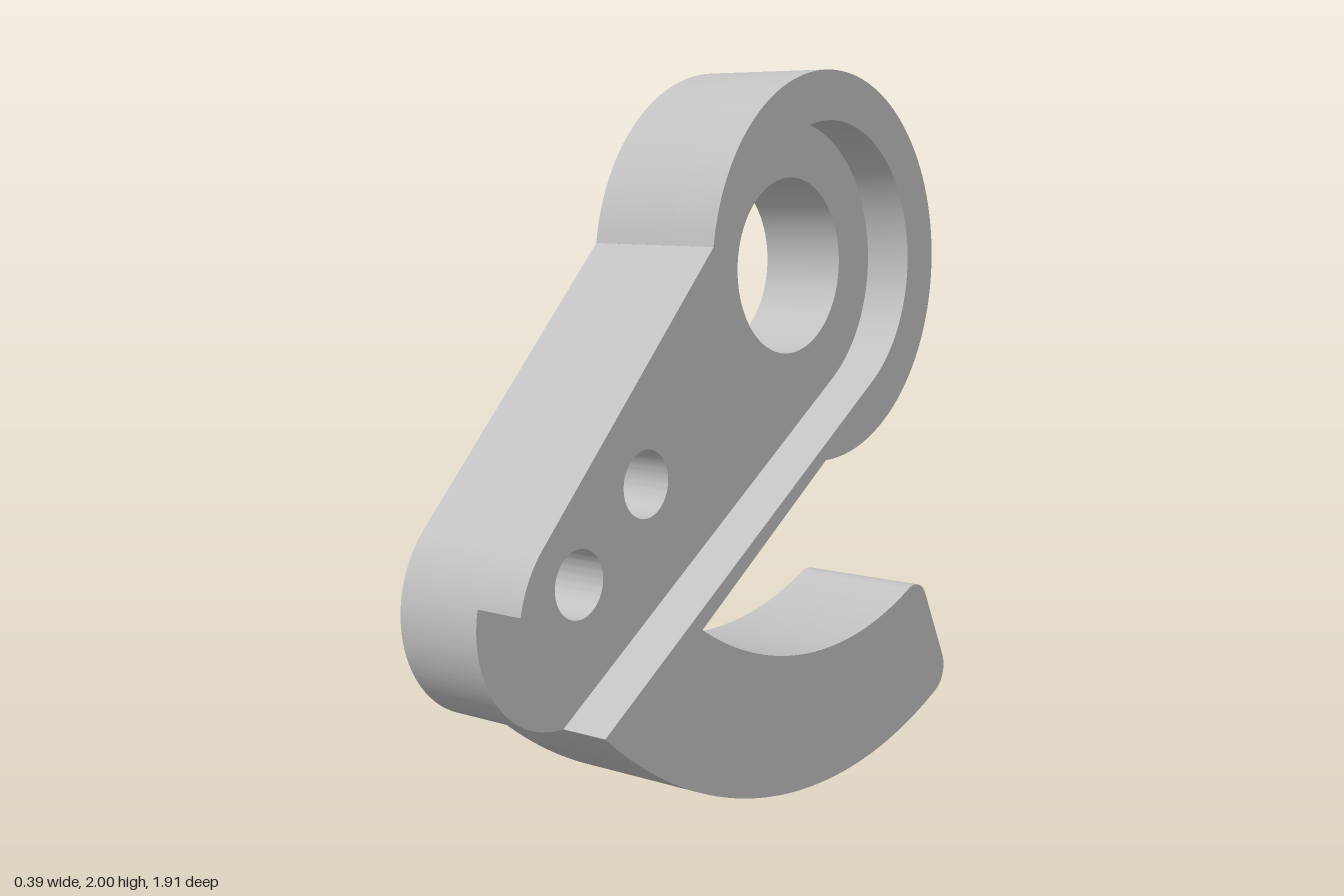
import * as THREE from 'three';
import { toCreasedNormals } from 'three/addons/utils/BufferGeometryUtils.js';

// Profile plane: first coordinate runs to the back (-z), second runs up.
const EYE = [0.305, 1.465];   // centre of the large ring, also of the hook arcs
const FOOT = [-0.655, 0.66];  // centre of the rounded lower end
const X_BACK = -0.2, X_FLOOR = 0.055, X_RIM = 0.192;

// Arc about c from the direction of point a to the direction of point b
function arc(path, c, r, a, b, clockwise) {
  const angle = (p) => Math.atan2(p[1] - c[1], p[0] - c[0]);
  path.absarc(c[0], c[1], r, angle(a), angle(b), clockwise);
}

const recessStart = [-0.949, 0.72];
const footBottom = [-0.655, 0.36];

// Outer edge from the recess mouth, over the ring and around the hook
function outerEdge() {
  const s = new THREE.Shape();
  s.moveTo(...recessStart);
  arc(s, FOOT, 0.3, recessStart, [-0.873, 0.866], true);
  s.lineTo(-0.224, 1.54);
  arc(s, EYE, 0.535, [-0.224, 1.54], [0.29, 0.93], true);
  s.lineTo(-0.27, 0.557);
  // hook inner arc, rounded tip, outer arc
  arc(s, EYE, 1.075, [-0.27, 0.557], [0.735, 0.481], false);
  s.bezierCurveTo(0.775, 0.5, 0.82, 0.485, 0.838, 0.45);
  s.lineTo(0.948, 0.233);
  s.bezierCurveTo(0.965, 0.195, 0.95, 0.149, 0.91, 0.131);
  arc(s, EYE, 1.465, [0.91, 0.131], [-0.657, 0.36], true);
  return s;
}

function slab(name, shape, x0, x1, material) {
  const g = new THREE.ExtrudeGeometry(shape, {
    depth: x1 - x0, bevelEnabled: false, curveSegments: 40,
  });
  g.translate(0, 0, x0);
  g.rotateY(Math.PI / 2);
  const mesh = new THREE.Mesh(toCreasedNormals(g, 0.4), material);
  mesh.name = name;
  return mesh;
}

export function createModel() {
  const group = new THREE.Group();
  group.name = 'hookLever';
  const grey = new THREE.MeshStandardMaterial({ color: 0xc0c0c0 });
  grey.name = 'grey';

  // Full plate with the large bore and two pin holes
  const plate = outerEdge();
  arc(plate, FOOT, 0.3, footBottom, recessStart, true);
  for (const [u, v, r] of [[...EYE, 0.245], [-0.33, 0.932, 0.09], [-0.592, 0.715, 0.09]]) {
    const hole = new THREE.Path();
    hole.absarc(u, v, r, 0, Math.PI * 2, false);
    plate.holes.push(hole);
  }
  group.add(slab('basePlate', plate, X_BACK, X_FLOOR, grey));

  // Raised rim and hook around the open-ended recess
  const rim = outerEdge();
  rim.lineTo(0.525, 1.131);
  arc(rim, EYE, 0.4, [0.525, 1.131], [0.013, 1.739], false);
  rim.closePath();
  group.add(slab('raisedRim', rim, X_FLOOR, X_RIM, grey));

  return group;
}
